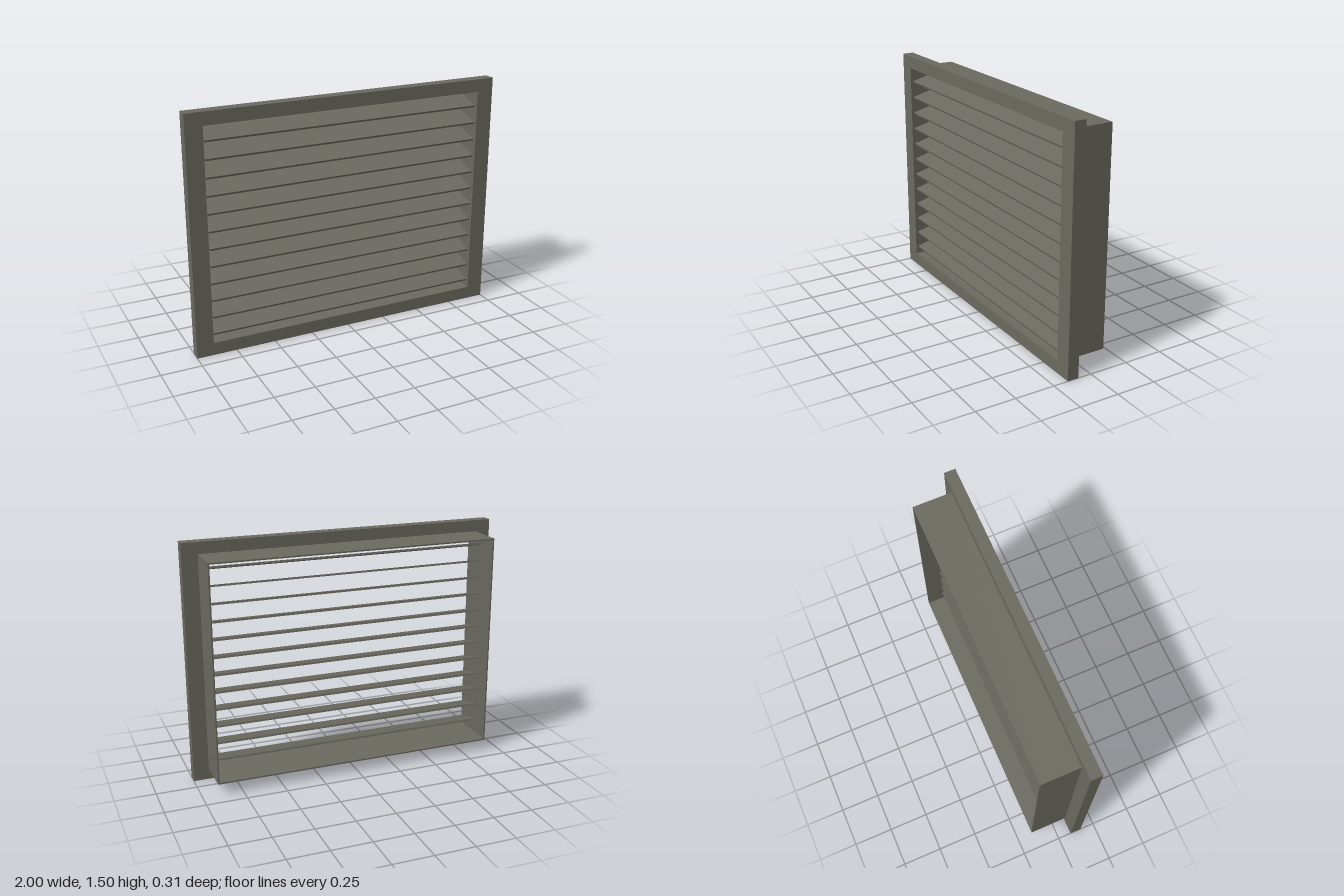
import * as THREE from 'three';

const WIDTH = 2, HEIGHT = 1.5;
const OPEN_W = 1.788, OPEN_H = 1.34; // clear opening
const WALL = 0.009;                  // sleeve sheet thickness

const rectPoints = (w, h) => [[-1, -1], [1, -1], [1, 1], [-1, 1]]
  .map(([x, y]) => new THREE.Vector2(x * w / 2, y * h / 2));

// Rectangular ring extruded along z from z0 to z1
function ringGeometry(outerW, outerH, z0, z1) {
  const shape = new THREE.Shape(rectPoints(outerW, outerH));
  shape.holes.push(new THREE.Path(rectPoints(OPEN_W, OPEN_H).reverse()));
  const geo = new THREE.ExtrudeGeometry(shape, { depth: z1 - z0, bevelEnabled: false });
  return geo.translate(0, HEIGHT / 2, z0);
}

export function createModel() {
  const group = new THREE.Group();
  group.name = 'louvreVent';
  const metal = new THREE.MeshStandardMaterial({ color: 0x6b6a60 });

  const add = (name, geo) => {
    const mesh = new THREE.Mesh(geo, metal);
    mesh.name = name;
    group.add(mesh);
    return mesh;
  };

  // Front flange and the thin duct sleeve behind it
  add('frontFrame', ringGeometry(WIDTH, HEIGHT, 0.086, 0.157));
  add('rearSleeve', ringGeometry(OPEN_W + 2 * WALL, OPEN_H + 2 * WALL, -0.157, 0.086));

  // Slats slope down towards the front
  const count = 12, pitch = 0.1087;
  const slatGeo = new THREE.BoxGeometry(1.774, 0.012, 0.2);
  for (let i = 0; i < count; i++) {
    const slat = add(`slat${i + 1}`, slatGeo);
    slat.position.set(0, HEIGHT / 2 + 0.004 + (i - (count - 1) / 2) * pitch, 0.047);
    slat.rotation.x = THREE.MathUtils.degToRad(15);
  }
  return group;
}
